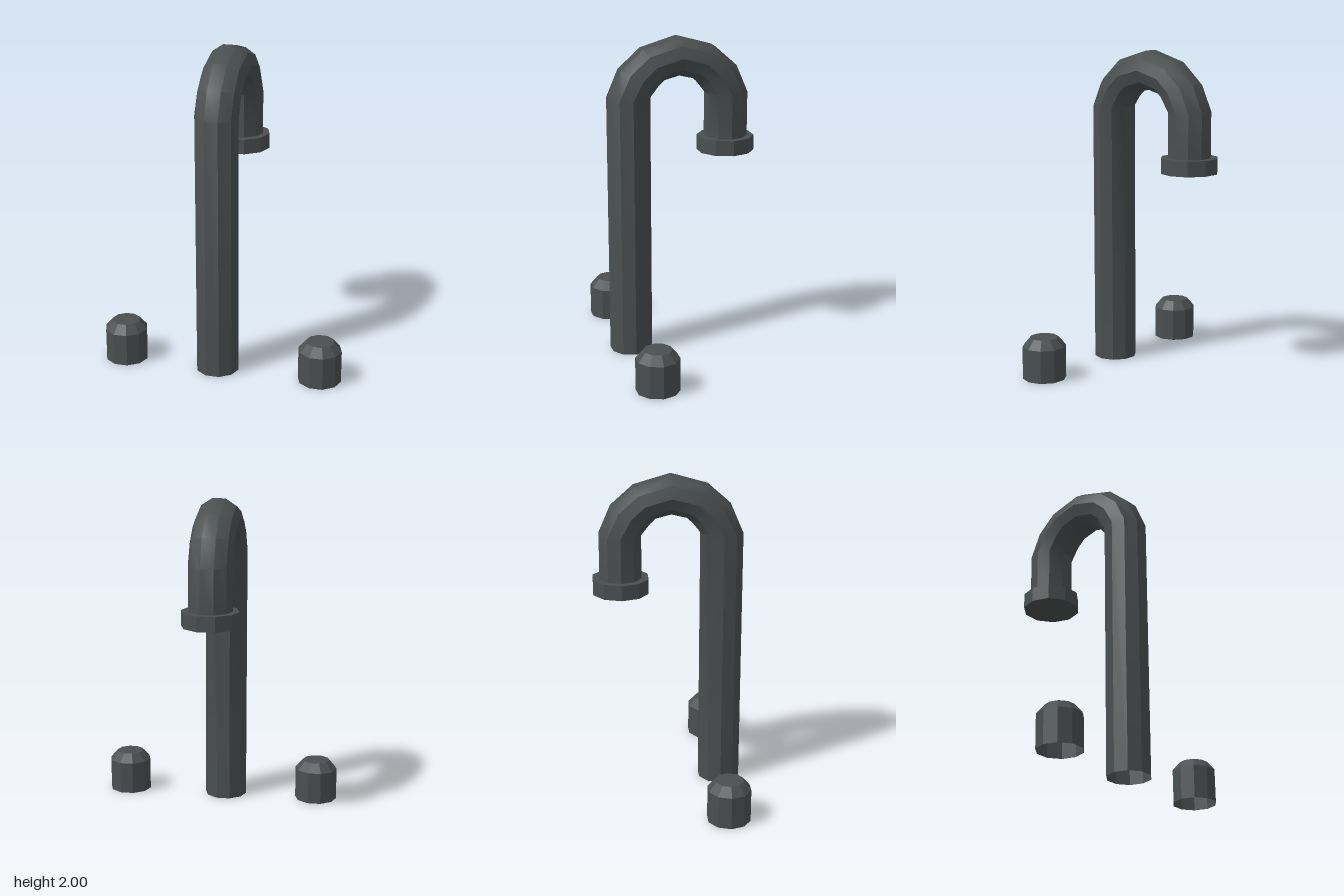
import * as THREE from 'three';
import { toCreasedNormals } from 'three/addons/utils/BufferGeometryUtils.js';

const SIDES = 10;
const PIPE_X = -0.025;

// Ten-sided tube lofted through sections given as outer and inner points [z, y, z, y]
function loftPipe(sections, radius) {
  const flat = Math.sin((2 * Math.PI) / 5); // decagon reach across its flats
  const positions = [];
  const index = [];
  sections.forEach(([oz, oy, iz, iy], i) => {
    for (let j = 0; j < SIDES; j++) {
      const a = (j / SIDES) * Math.PI * 2;
      const s = Math.sin(a) / flat / 2;
      positions.push(radius * Math.cos(a), (oy + iy) / 2 + (oy - iy) * s, (oz + iz) / 2 + (oz - iz) * s);
      if (i === sections.length - 1) continue;
      const p = i * SIDES + j;
      const q = i * SIDES + ((j + 1) % SIDES);
      index.push(p, p + SIDES, q + SIDES, p, q + SIDES, q);
    }
  });
  const geometry = new THREE.BufferGeometry();
  geometry.setAttribute('position', new THREE.Float32BufferAttribute(positions, 3));
  geometry.setIndex(index);
  return toCreasedNormals(geometry, 0.59);
}

export function createModel() {
  const model = new THREE.Group();
  model.name = 'faucet';
  const metal = new THREE.MeshStandardMaterial({ color: 0x4a4f4f, side: THREE.DoubleSide });
  metal.name = 'dark metal';

  function add(name, geometry, x, y, z, parent = model) {
    const mesh = new THREE.Mesh(geometry, metal);
    mesh.name = name;
    mesh.position.set(x, y, z);
    parent.add(mesh);
    return mesh;
  }

  // Ten-sided turned part with corners on the x axis
  const turned = (top, bottom, height, open = false) =>
    toCreasedNormals(new THREE.CylinderGeometry(top, bottom, height, SIDES, 1, open, Math.PI / 2), 0.3);

  // Gooseneck spout: upright, arch mirrored about its crown, short drop
  const mid = 0.022;
  const rise = [
    [0.46, 1.64, 0.205, 1.64],
    [0.387, 1.81, 0.15, 1.71],
    [0.247, 1.935, 0.115, 1.742],
  ];
  const fall = rise.map(([oz, oy, iz, iy]) => [2 * mid - oz, oy, 2 * mid - iz, iy]).reverse();
  const sections = [
    [0.46, 0, 0.205, 0],
    ...rise,
    [mid, 2, mid, 1.765],
    ...fall,
    [-0.415, 1.33, -0.16, 1.33],
  ];
  add('spout', loftPipe(sections, 0.135), PIPE_X, 0, 0);

  // Collar at the outlet
  add('outletCollar', turned(0.178, 0.178, 0.095), PIPE_X, 1.3175, -0.287);

  // Two tap knobs, open underneath, with bevelled tops
  for (const [name, side] of [['leftKnob', 1], ['rightKnob', -1]]) {
    const knob = new THREE.Group();
    knob.name = name;
    knob.position.set(side * 0.625, 0, 0.33);
    model.add(knob);
    add('knobBody', turned(0.135, 0.135, 0.205, true), 0, 0.1025, 0, knob);
    add('knobBevel', turned(0.088, 0.135, 0.055, true), 0, 0.2325, 0, knob);
    const top = new THREE.CircleGeometry(0.088, SIDES).rotateX(-Math.PI / 2);
    add('knobTop', top, 0, 0.26, 0, knob);
  }
  return model;
}
